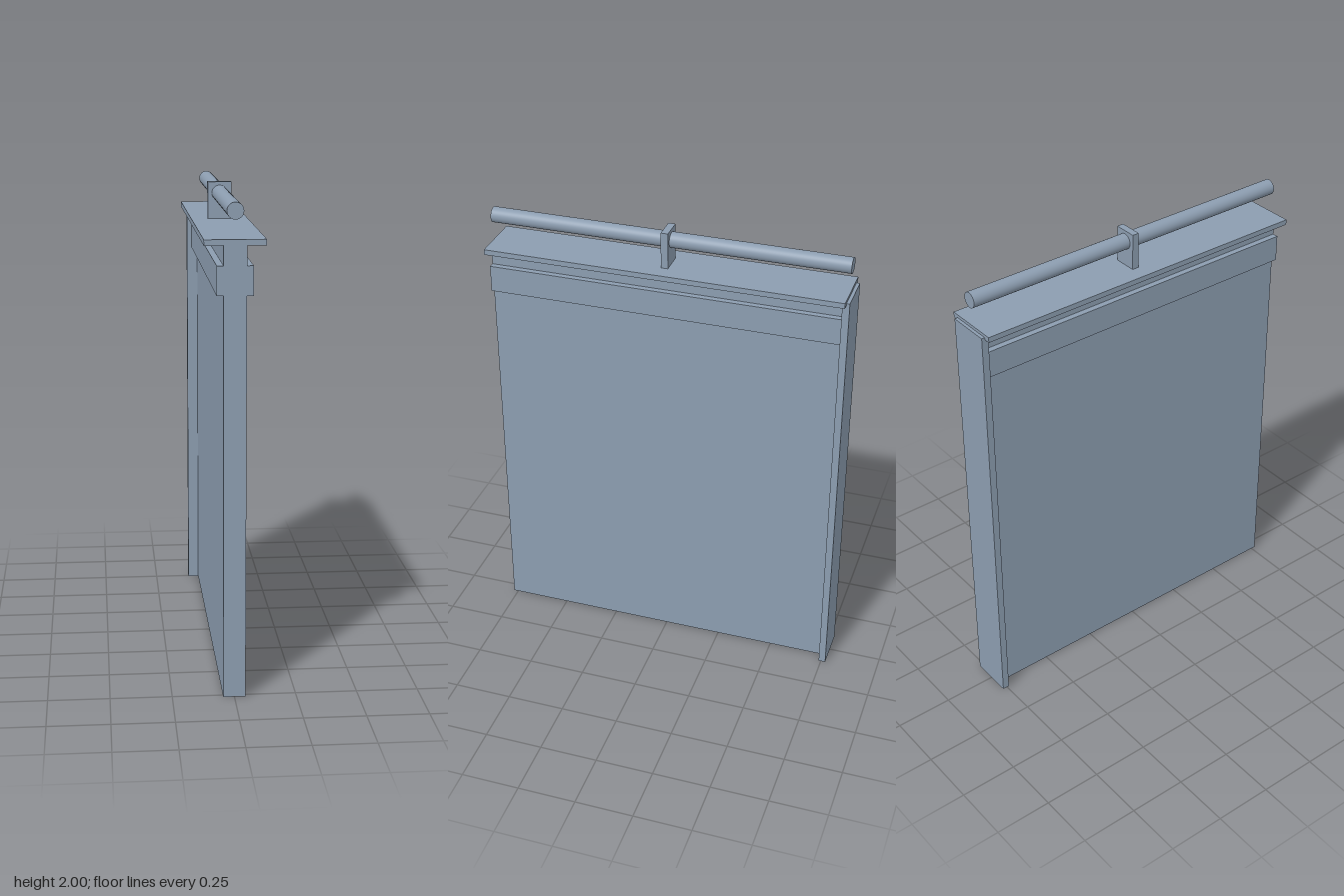
import * as THREE from 'three';

export function createModel() {
  const model = new THREE.Group();
  const steel = new THREE.MeshStandardMaterial({ color: 0x8c9db0 });
  steel.name = 'blue grey steel';

  function add(name, geometry) {
    const mesh = new THREE.Mesh(geometry, steel);
    mesh.name = name;
    model.add(mesh);
    return mesh;
  }

  // Panel with a raised band near the top: one cross-section swept along z
  const front = 0.77, back = -0.74;
  const half = [[0.045, 0], [0.045, 1.63], [0.071, 1.63], [0.071, 1.745], [0.045, 1.745], [0.045, 1.822]];
  const outline = [...half, ...half.map(([x, y]) => [-x, y]).reverse()];
  const section = new THREE.Shape(outline.map(([x, y]) => new THREE.Vector2(x, y)));
  add('panel', new THREE.ExtrudeGeometry(section, { depth: front - back, bevelEnabled: false }))
    .position.z = back;

  // Box from its half width and its y and z limits
  function box(name, halfWidth, y0, y1, z0, z1) {
    add(name, new THREE.BoxGeometry(2 * halfWidth, y1 - y0, z1 - z0))
      .position.set(0, (y0 + y1) / 2, (z0 + z1) / 2);
  }
  box('backFlange', 0.093, 0, 1.832, -0.77, back);
  box('capPlate', 0.12, 1.822, 1.845, -0.756, front);
  box('rodBracket', 0.05, 1.845, 2, -0.008, 0.022);

  // Handle rod running through the bracket
  const rod = add('handleRod', new THREE.CylinderGeometry(0.033, 0.033, 1.526, 48));
  rod.rotation.x = Math.PI / 2;
  rod.position.set(0, 1.953, 0.007);

  return model;
}
